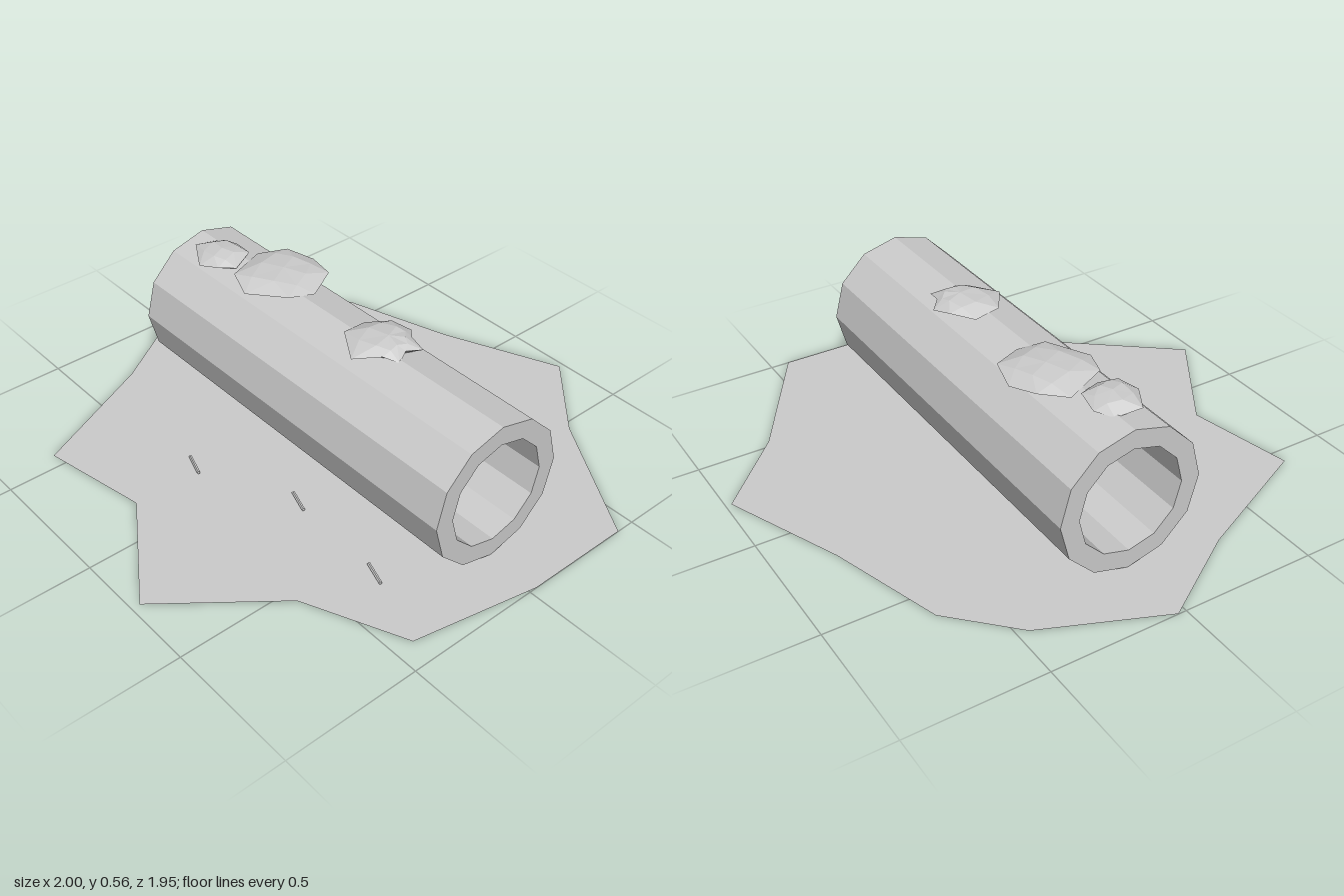
import * as THREE from 'three';

const grey = new THREE.MeshStandardMaterial({ color: 0xcccccc, flatShading: true });
grey.name = 'pale grey';
const groundGrey = new THREE.MeshStandardMaterial({ color: 0xcccccc, side: THREE.DoubleSide });
groundGrey.name = 'ground pale grey';

function part(name, geometry, material = grey) {
  const mesh = new THREE.Mesh(geometry, material);
  mesh.name = name;
  return mesh;
}

// Faceted flat lump: a rim outline [x, z] with a smaller ring and a tip above and below
function mossGeometry(rim, y, height) {
  const n = rim.length;
  const cx = rim.reduce((s, p) => s + p[0], 0) / n;
  const cz = rim.reduce((s, p) => s + p[1], 0) / n;
  const edge = rim.map(([x, z], i) => [x, y + (i % 2 ? 0.006 : -0.006), z]);
  const pos = [];
  for (const up of [1, -1]) {
    const ring = rim.map((p, i) => {
      const q = rim[(i + 1) % n];
      const k = i % 2 ? 0.58 : 0.72;
      return [
        cx + ((p[0] + q[0]) / 2 - cx) * k,
        y + up * height * (i % 2 ? 0.85 : 0.65),
        cz + ((p[1] + q[1]) / 2 - cz) * k,
      ];
    });
    const tip = [cx, y + up * height, cz];
    const tri = (a, b, c) => pos.push(...(up > 0 ? [...b, ...a, ...c] : [...a, ...b, ...c]));
    for (let i = 0; i < n; i++) {
      const j = (i + 1) % n;
      tri(edge[i], edge[j], ring[i]);
      tri(edge[j], ring[j], ring[i]);
      tri(ring[i], ring[j], tip);
    }
  }
  const g = new THREE.BufferGeometry();
  g.setAttribute('position', new THREE.Float32BufferAttribute(pos, 3));
  g.computeVertexNormals();
  return g;
}

export function createModel() {
  const model = new THREE.Group();
  model.name = 'hollowLog';

  // Ragged flat ground patch
  const outline = [
    [-1, -0.03], [-0.82, -0.46], [-0.61, -0.665], [-0.19, -0.795], [0.25, -0.98],
    [0.53, -0.72], [1, -0.43], [1, -0.03], [0.91, 0.425], [0.55, 0.585],
    [0.24, 0.97], [-0.16, 0.71], [-0.56, 0.79], [-0.785, 0.305],
  ];
  const shape = new THREE.Shape(outline.map(([x, z]) => new THREE.Vector2(x, -z)));
  const ground = part('ground', new THREE.ShapeGeometry(shape), groundGrey);
  ground.rotation.x = -Math.PI / 2;
  ground.position.y = 0.003;
  model.add(ground);

  // Hollow twelve-sided log lying along x
  const outer = 0.266, inner = 0.196, half = 0.768;
  const profile = [[inner, half], [inner, -half], [outer, -half], [outer, half], [inner, half]]
    .map(([r, h]) => new THREE.Vector2(r, h));
  const log = part('log', new THREE.LatheGeometry(profile, 12));
  log.rotation.z = -Math.PI / 2;
  log.position.set(0.032, 0.268, -0.03);
  model.add(log);

  // Moss clumps on top of the log
  const clumps = [
    [[-0.58, -0.075], [-0.49, -0.06], [-0.45, 0.03], [-0.48, 0.09], [-0.55, 0.12],
      [-0.66, 0.055], [-0.645, -0.04]],
    [[-0.32, -0.22], [-0.2, -0.19], [-0.14, -0.075], [-0.165, 0.02], [-0.3, 0.11],
      [-0.41, 0.07], [-0.48, -0.09], [-0.42, -0.18]],
    [[0.235, -0.18], [0.28, -0.14], [0.345, -0.13], [0.325, -0.07], [0.35, -0.02],
      [0.3, 0.01], [0.23, 0.085], [0.11, 0.01], [0.1, -0.09], [0.165, -0.155]],
  ];
  clumps.forEach((rim, i) => model.add(part('moss' + (i + 1), mossGeometry(rim, 0.535, 0.028))));

  // Fallen twigs
  [[-0.185, 0.445], [0.2, 0.29], [0.625, 0.325]].forEach(([x, z], i) => {
    const geometry = new THREE.CylinderGeometry(0.006, 0.006, 0.095, 5).rotateZ(Math.PI / 2);
    const twig = part('twig' + (i + 1), geometry);
    twig.rotation.y = -0.32;
    twig.position.set(x, 0.013, z);
    model.add(twig);
  });

  return model;
}
